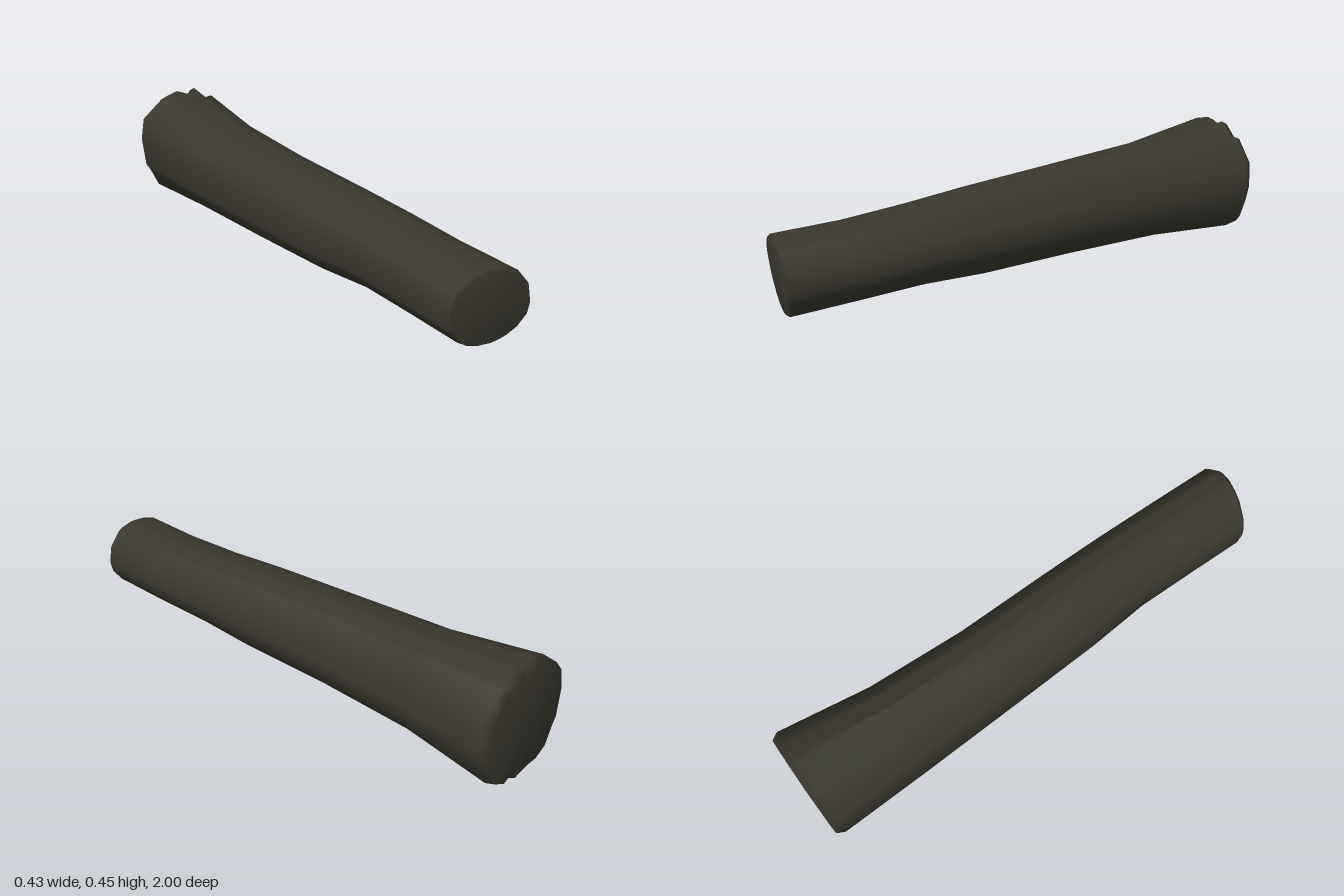
import * as THREE from 'three';

// Ragged outline of the wide rear end, counter-clockwise as [x, y]
const REAR = [
  [0.215, 0.205], [0.21, 0.31], [0.135, 0.402], [0.105, 0.4], [0.05, 0.45],
  [0.03, 0.425], [-0.035, 0.45], [-0.105, 0.43], [-0.2, 0.355], [-0.215, 0.265],
  [-0.2, 0.15], [-0.18, 0.12], [-0.145, 0.048], [-0.09, 0.02], [-0.03, 0.018],
  [0.04, 0.003], [0.07, 0.035], [0.11, 0.015], [0.17, 0.055], [0.2, 0.14],
];

// Trunk sections: z, left and right x, bottom and top y
const SECTIONS = [
  [-0.6, -0.2, 0.178, 0.013, 0.4],
  [-0.2, -0.185, 0.16, 0.02, 0.377],
  [0.2, -0.17, 0.166, 0.028, 0.358],
  [0.45, -0.152, 0.166, 0.046, 0.342],
  [0.7, -0.155, 0.164, 0.044, 0.327],
];

const CENTRE_Y = 0.22;
const angles = REAR.map(([x, y]) => Math.atan2(y - CENTRE_Y, x));

function ellipse(x0, x1, y0, y1, zAt) {
  return angles.map((a) => {
    const x = (x0 + x1) / 2 + Math.cos(a) * (x1 - x0) / 2;
    const y = (y0 + y1) / 2 + Math.sin(a) * (y1 - y0) / 2;
    return [x, y, zAt(x, y)];
  });
}

function buildLog() {
  // The front end is cut at a slant
  const cut = (x, y) => Math.min(0.985, 0.962 + 0.2 * x + 0.1 * (y - 0.2));
  const inset = (ring, s, dz) => ring.map(([x, y, z]) => [x * s, 0.21 + (y - 0.21) * s, z + dz]);

  const rear = REAR.map(([x, y]) => [x, y, -0.965]);
  const front = ellipse(-0.16, 0.156, 0.04, 0.326, cut);
  const rings = [
    inset(rear, 0.93, -0.03),
    rear,
    ...SECTIONS.map(([z, x0, x1, y0, y1]) => ellipse(x0, x1, y0, y1, () => z)),
    front,
    inset(front, 0.93, 0.013),
  ];

  const n = REAR.length;
  const positions = rings.flat(2);
  const index = [];
  for (let i = 0; i < rings.length - 1; i++) {
    for (let k = 0; k < n; k++) {
      const a = i * n + k, b = i * n + (k + 1) % n;
      index.push(a, b, b + n, a, b + n, a + n);
    }
  }

  // End caps
  const last = (rings.length - 1) * n, tip = rings.length * n;
  positions.push(0, 0.21, -1, 0, 0.19, 0.985);
  for (let k = 0; k < n; k++) {
    const next = (k + 1) % n;
    index.push(tip, next, k, tip + 1, last + k, last + next);
  }

  const geometry = new THREE.BufferGeometry();
  geometry.setAttribute('position', new THREE.Float32BufferAttribute(positions, 3));
  geometry.setIndex(index);
  geometry.computeVertexNormals();
  return geometry;
}

export function createModel() {
  const bark = new THREE.MeshStandardMaterial({ color: 0x3a382e });
  bark.name = 'dark bark';
  const log = new THREE.Mesh(buildLog(), bark);
  log.name = 'log';
  const group = new THREE.Group();
  group.name = 'fallenLog';
  group.add(log);
  return group;
}
